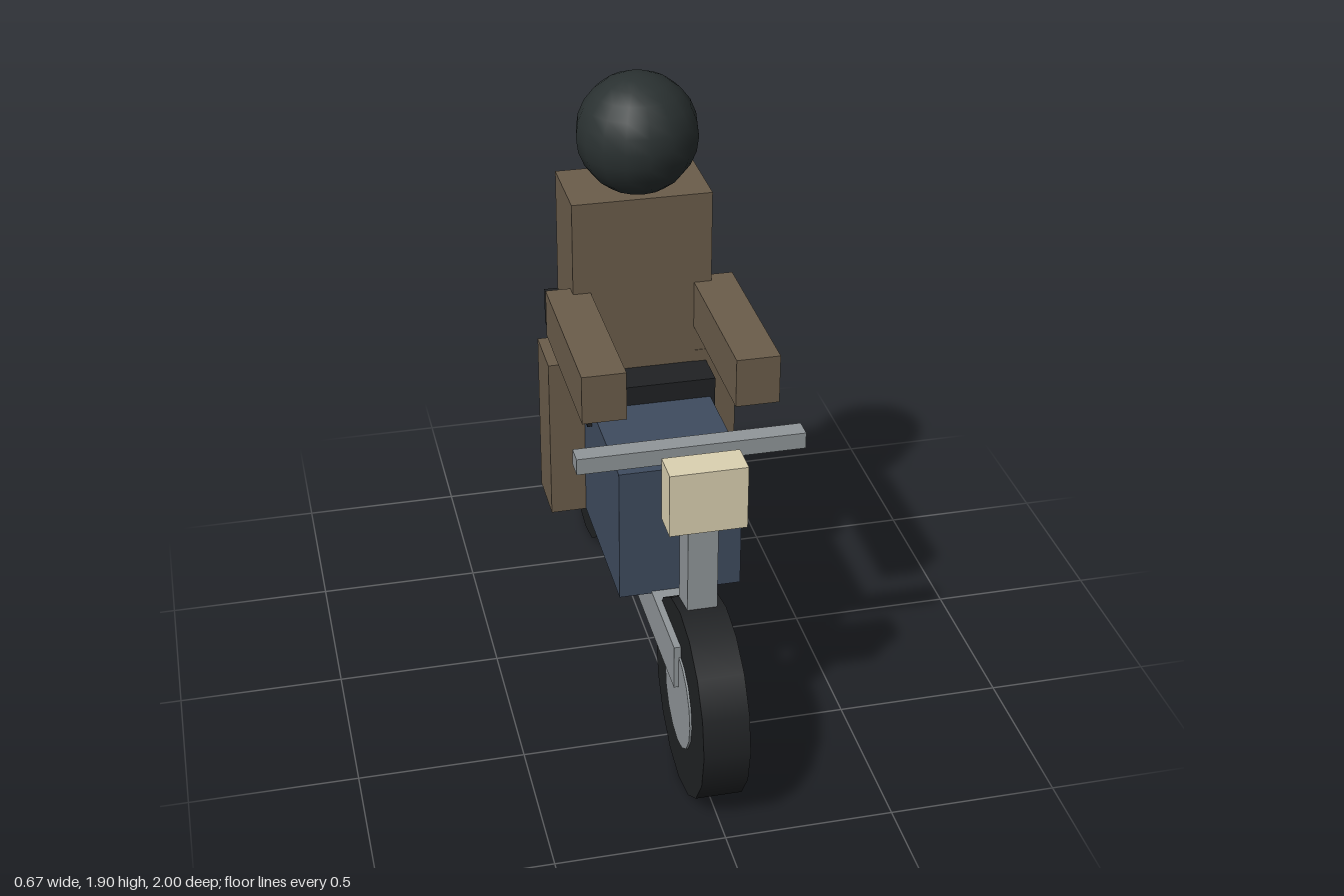
import * as THREE from 'three';

const paint = (color) => new THREE.MeshStandardMaterial({ color });
const black = paint(0x202224);
const grey = paint(0x91979a);
const blue = paint(0x3f4c5f);
const brown = paint(0x6b5d4b);
const cream = paint(0xdcd2b2);
const red = paint(0xa02022);
const helmetDark = paint(0x2a3131);

export function createModel() {
  const model = new THREE.Group();
  model.name = 'motorcycleWithRider';

  const add = (name, geometry, material, x, y, z) => {
    const mesh = new THREE.Mesh(geometry, material);
    mesh.name = name;
    mesh.position.set(x, y, z);
    model.add(mesh);
    return mesh;
  };

  // Box given by its [min, max] range on each axis
  const box = (name, material, [x0, x1], [y0, y1], [z0, z1]) =>
    add(name, new THREE.BoxGeometry(x1 - x0, y1 - y0, z1 - z0), material,
      (x0 + x1) / 2, (y0 + y1) / 2, (z0 + z1) / 2);

  // Disc with its axle along x
  const disc = (name, material, radius, width, z) =>
    add(name, new THREE.CylinderGeometry(radius, radius, width, 16).rotateZ(Math.PI / 2),
      material, 0, 0.297, z);

  // Wheels
  for (const [end, z] of [['front', 0.704], ['rear', -0.704]]) {
    disc(end + 'Tyre', black, 0.297, 0.136, z);
    disc(end + 'Hub', grey, 0.153, 0.148, z);
  }

  // Motorcycle body
  box('frame', grey, [-0.088, 0.088], [0.343, 0.484], [-0.717, 0.717]);
  box('tank', blue, [-0.185, 0.185], [0.477, 0.904], [-0.21, 0.425]);
  box('seat', black, [-0.2, 0.2], [0.845, 0.966], [-0.667, 0.038]);
  box('fork', grey, [-0.044, 0.044], [0.4, 0.987], [0.593, 0.694]);
  box('handlebar', grey, [-0.333, 0.333], [1.004, 1.054], [0.5, 0.558]);
  box('headlight', cream, [-0.112, 0.112], [0.89, 1.085], [0.653, 0.752]);
  box('tailLight', red, [-0.102, 0.102], [0.618, 0.738], [-0.918, -0.858]);

  // Rider
  box('torso', brown, [-0.214, 0.214], [0.935, 1.531], [-0.338, -0.082]);
  add('helmet', new THREE.SphereGeometry(0.184, 16, 12), helmetDark, 0, 1.715, -0.152);
  for (const [side, s] of [['left', 1], ['right', -1]]) {
    const across = (a, b) => [a * s, b * s].sort((p, q) => p - q);
    box(side + 'Arm', brown, across(0.16, 0.29), [1.087, 1.238], [-0.125, 0.425]);
    box(side + 'Leg', brown, across(0.165, 0.295), [0.477, 1.005], [-0.261, -0.08]);
  }

  return model;
}
